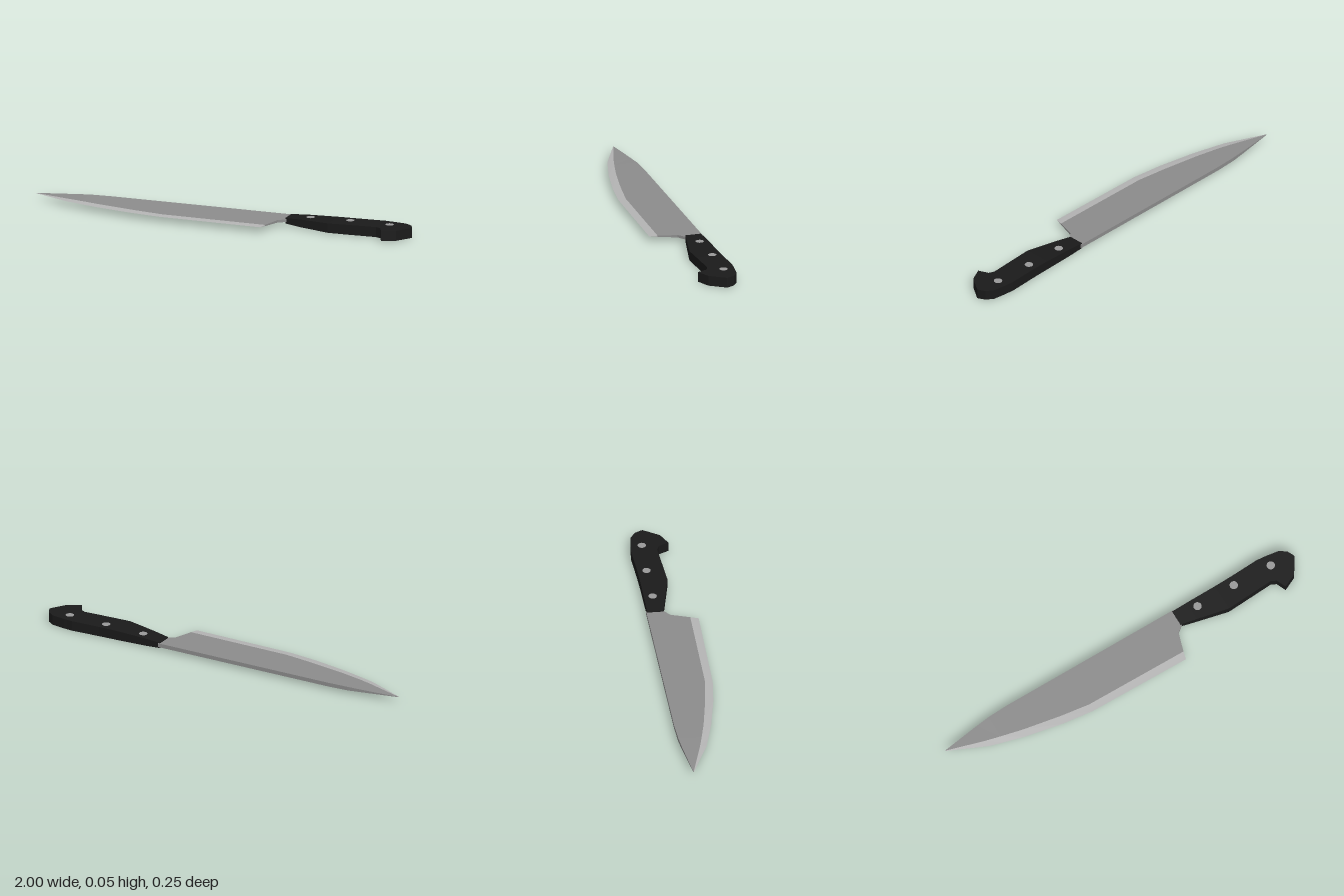
import * as THREE from 'three';

const material = (color) => new THREE.MeshStandardMaterial({ color, flatShading: true });

// Skin a row of equal-sized cross-sections running along +x, with both ends capped
function loft(name, rings, mat) {
  const pos = [];
  const tri = (a, b, c) => pos.push(...a, ...b, ...c);
  for (let i = 0; i < rings.length - 1; i++) {
    const r = rings[i], s = rings[i + 1], n = r.length;
    for (let j = 0; j < n; j++) {
      const k = (j + 1) % n;
      tri(r[j], r[k], s[k]);
      tri(r[j], s[k], s[j]);
    }
  }
  const first = rings[0], last = rings[rings.length - 1];
  for (let j = 1; j < first.length - 1; j++) {
    tri(first[0], first[j + 1], first[j]);
    tri(last[0], last[j], last[j + 1]);
  }
  const geo = new THREE.BufferGeometry();
  geo.setAttribute('position', new THREE.Float32BufferAttribute(pos, 3));
  geo.computeVertexNormals();
  const mesh = new THREE.Mesh(geo, mat);
  mesh.name = name;
  return mesh;
}

// Four-cornered section between two z values, with its own thickness at each
const section = (x, y, z0, z1, h0, h1) => [
  [x, y + h0, z0], [x, y + h1, z1], [x, y - h1, z1], [x, y - h0, z0],
];

export function createModel() {
  const knife = new THREE.Group();
  knife.name = 'knife';
  const bladeY = 0.029, handleY = 0.0275;

  // Blade stations: x, spine z, bevel line z, cutting edge z, spine half thickness
  const blade = [
    [-1, -0.085, -0.083, -0.081, 0.0005],
    [-0.8, -0.112, -0.022, 0.01, 0.007],
    [-0.73, -0.12, -0.004, 0.03, 0.0095],
    [-0.62, -0.125, 0.022, 0.06, 0.01],
    [-0.43, -0.125, 0.057, 0.098, 0.01],
    [-0.27, -0.125, 0.08, 0.118, 0.01],
    [0.275, -0.125, 0.085, 0.125, 0.01],
  ];
  // Neck behind the heel: the body narrows into the handle
  const neck = [[0.305, -0.125, -0.01, 0, 0.01], [0.345, -0.125, -0.042, 0, 0.01]];
  const lowHalf = (z, half) => half * (1 - 0.68 * Math.min(1, (z + 0.125) / 0.21));

  knife.add(loft('bladeBody', [...blade, ...neck].map(([x, zs, zb, , h]) =>
    section(x, bladeY, zs, zb, h, lowHalf(zb, h))), material(0x8c8c8c)));

  // Ground bevel tapering to the cutting edge
  knife.add(loft('cuttingEdge', blade.map(([x, , zb, ze, h]) => {
    const t = lowHalf(zb, h);
    const edgeX = x > 0 ? x - 0.01 : x;
    return [[x, bladeY + t, zb], [edgeX, bladeY, ze], [x, bladeY - t, zb]];
  }), material(0xb4b4b4)));

  // Handle stations: x, back z, belly z, half thickness
  const handle = [
    [0.335, -0.121, -0.04, 0.014],
    [0.42, -0.121, -0.021, 0.0195],
    [0.58, -0.121, 0.015, 0.024],
    [0.68, -0.123, 0.009, 0.025],
    [0.83, -0.13, 0, 0.0255],
    [0.858, -0.127, 0.013, 0.0255],
    [0.88, -0.125, 0.063, 0.0255],
    [0.947, -0.115, 0.031, 0.0255],
    [0.983, -0.09, -0.022, 0.0255],
    [1, -0.055, -0.048, 0.0255],
  ];
  knife.add(loft('handle', handle.map(([x, z0, z1, h]) =>
    section(x, handleY, z0, z1, h, h)), material(0x1a1a1a)));

  // Rivets pass right through the handle, barely proud on both sides
  const rivetMat = material(0x999999);
  [[0.455, -0.077, 0.0216], [0.665, -0.077, 0.0256], [0.875, -0.07, 0.0264]].forEach(([x, z, half], i) => {
    const rivet = new THREE.Mesh(new THREE.CylinderGeometry(0.021, 0.021, half * 2, 16), rivetMat);
    rivet.position.set(x, handleY, z);
    rivet.name = 'rivet' + (i + 1);
    knife.add(rivet);
  });

  return knife;
}
